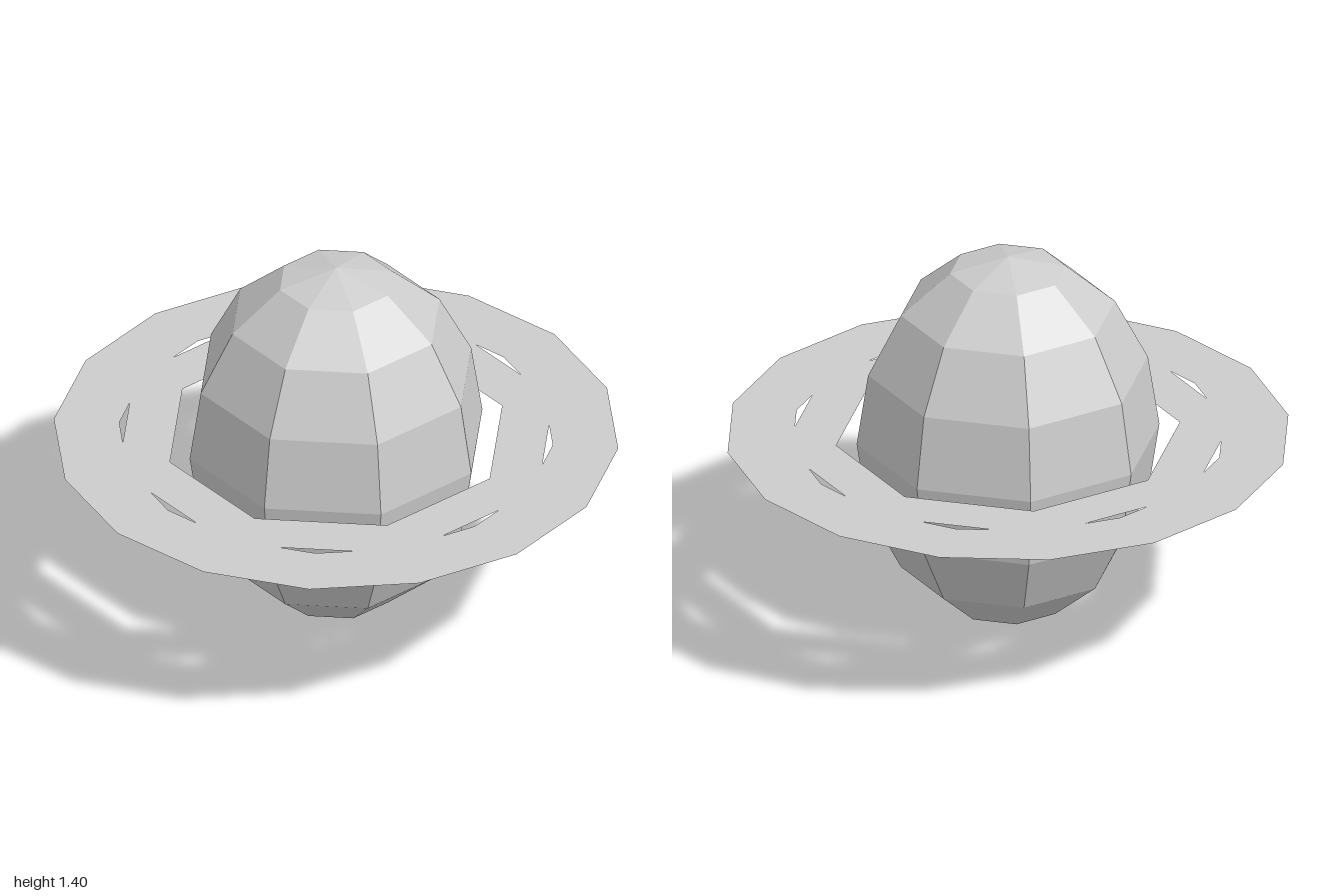
import * as THREE from 'three';

// Point at a given radius and angle in degrees
const polar = (radius, deg) => {
  const a = THREE.MathUtils.degToRad(deg);
  return new THREE.Vector2(radius * Math.cos(a), radius * Math.sin(a));
};

// Regular polygon with its first corner on the x axis
const polygon = (sides, radius) =>
  Array.from({ length: sides }, (_, i) => polar(radius, (i * 360) / sides));

export function createModel() {
  const model = new THREE.Group();
  model.name = 'ringedPlanet';

  const planetGrey = new THREE.MeshStandardMaterial({ color: 0xcccccc, flatShading: true });
  planetGrey.name = 'planetGrey';
  const ringGrey = new THREE.MeshStandardMaterial({
    color: 0xcccccc, flatShading: true, side: THREE.DoubleSide,
  });
  ringGrey.name = 'ringGrey';

  // Planet: faceted ellipsoid standing on the ground
  const planet = new THREE.Mesh(new THREE.SphereGeometry(1, 8, 8), planetGrey);
  planet.geometry.scale(0.54, 0.702, 0.54);
  planet.position.y = 0.702;
  planet.name = 'planet';
  model.add(planet);

  // Ring: flat sheet with a sixteen-sided rim, an eight-sided opening and eight slits
  const sheet = new THREE.Shape(polygon(16, 1));
  sheet.holes.push(new THREE.Path(polygon(8, 0.613)));
  for (let i = 0; i < 8; i++) {
    const mid = 22.5 + i * 45;
    sheet.holes.push(new THREE.Path([
      polar(0.754, mid - 9.8), polar(0.768, mid), polar(0.754, mid + 9.8),
    ]));
  }
  const ring = new THREE.Mesh(new THREE.ShapeGeometry(sheet), ringGrey);
  ring.geometry.rotateX(-Math.PI / 2);
  ring.position.y = 0.703;
  ring.name = 'ring';
  model.add(ring);

  return model;
}
